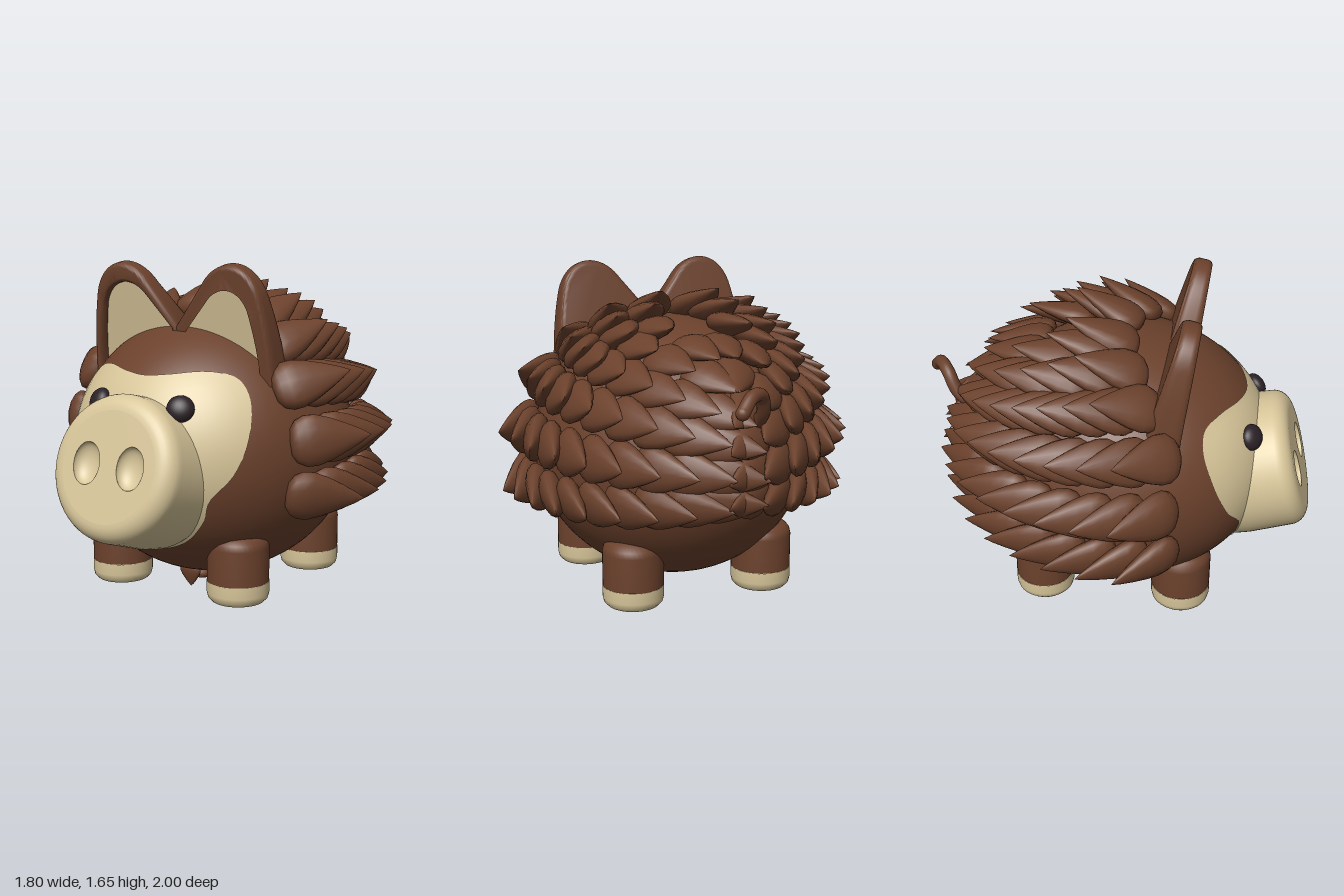
import * as THREE from 'three';
import { toCreasedNormals } from 'three/addons/utils/BufferGeometryUtils.js';

const brown = new THREE.MeshStandardMaterial({ color: 0x6b412c });
brown.name = 'brown';
const tan = new THREE.MeshStandardMaterial({ color: 0xd8c69a, side: THREE.DoubleSide });
tan.name = 'tan';
const dark = new THREE.MeshStandardMaterial({ color: 0x2b2126 });
dark.name = 'dark';

// Body ellipsoid: radii and centre
const V = (x, y, z) => new THREE.Vector3(x, y, z);
const R = V(0.7, 0.67, 0.76);
const C = V(0, 0.73, 0.025);

function add(parent, name, geometry, material, x = 0, y = 0, z = 0) {
  const mesh = new THREE.Mesh(geometry, material);
  mesh.name = name;
  mesh.position.set(x, y, z);
  parent.add(mesh);
  return mesh;
}

const lathe = (pts, segments) =>
  new THREE.LatheGeometry(pts.map(p => new THREE.Vector2(p[0], p[1])), segments);

// Heart-shaped face patch laid just over the body
function facePatch() {
  const half = [[0.2, 0.34], [0.33, 0.47], [0.37, 0.57], [0.47, 0.7], [0.51, 0.86],
    [0.48, 1.03], [0.4, 1.13], [0.28, 1.16], [0.12, 1.145]];
  const pts = [[0, 0.285], ...half, [0, 1.135], ...half.map(p => [-p[0], p[1]]).reverse()];
  const curve = new THREE.CatmullRomCurve3(pts.map(p => V(p[0], p[1], 0)), true);
  const N = 96, rings = 14, pos = [], idx = [];
  for (let r = 0; r <= rings; r++) {
    for (let i = 0; i <= N; i++) {
      const p = curve.getPoint((i % N) / N), t = r / rings;
      const x = p.x * t, y = 0.75 + (p.y - 0.75) * t;
      const k = 1 - (x / R.x) ** 2 - ((y - C.y) / R.y) ** 2;
      pos.push(x, y, C.z + Math.sqrt(Math.max(k, 0)) * R.z + 0.008);
      if (r < rings && i < N) {
        const a = r * (N + 1) + i, b = a + N + 1;
        idx.push(a, b, b + 1, a, b + 1, a + 1);
      }
    }
  }
  const g = new THREE.BufferGeometry();
  g.setAttribute('position', new THREE.Float32BufferAttribute(pos, 3));
  g.setIndex(idx);
  g.computeVertexNormals();
  return g;
}

// Tilted snout with two dished nostrils
function makeSnout() {
  const g = new THREE.Group();
  g.name = 'snout';
  g.position.set(0, 0.745, 0.928);
  g.rotation.x = -0.28;
  const profile = [[0.33, -0.47], [0.358, -0.38], [0.361, -0.3], [0.35, -0.09]];
  for (let i = 1; i <= 8; i++) {
    const a = (i / 8) * Math.PI / 2;
    profile.push([0.262 + 0.088 * Math.cos(a), -0.085 + 0.085 * Math.sin(a)]);
  }
  add(g, 'snoutSide', lathe(profile, 64).rotateX(Math.PI / 2), tan);
  const face = new THREE.Shape().absarc(0, 0, 0.262, 0, Math.PI * 2);
  for (const s of [1, -1]) {
    face.holes.push(new THREE.Path().absellipse(s * 0.125, 0.005, 0.075, 0.1, 0, Math.PI * 2));
    const dish = new THREE.SphereGeometry(1, 32, 10, 0, Math.PI * 2, Math.PI / 2, Math.PI / 2);
    dish.rotateX(Math.PI / 2).scale(0.075, 0.1, 0.05);
    add(g, 'nostril', dish, tan, s * 0.125, 0.005, 0);
  }
  add(g, 'snoutFace', new THREE.ShapeGeometry(face, 32), tan);
  return g;
}

// Thins a part of the ear towards its tip
function taper(geometry) {
  const p = geometry.attributes.position;
  for (let i = 0; i < p.count; i++) p.setZ(i, p.getZ(i) * (1.05 - 0.9 * p.getY(i)));
  return toCreasedNormals(geometry, 0.8);
}

// Ear: rounded rim, back panel and pale sunken plate
function makeEar(s) {
  const g = new THREE.Group();
  g.name = s > 0 ? 'leftEar' : 'rightEar';
  g.position.set(0, 1.1, 0.268);
  g.rotation.x = 0.2;
  const outline = () => new THREE.Shape().moveTo(s * -0.01, -0.1).lineTo(s * -0.01, 0.26).lineTo(s * 0.15, 0.46)
    .bezierCurveTo(s * 0.24, 0.6, s * 0.42, 0.6, s * 0.475, 0.42)
    .quadraticCurveTo(s * 0.53, 0.2, s * 0.53, -0.1);
  const inner = shape => shape.moveTo(s * 0.035, -0.04).lineTo(s * 0.035, 0.245).lineTo(s * 0.18, 0.41)
    .bezierCurveTo(s * 0.25, 0.49, s * 0.38, 0.49, s * 0.43, 0.36)
    .quadraticCurveTo(s * 0.485, 0.15, s * 0.485, -0.04);
  const rim = outline();
  rim.holes.push(inner(new THREE.Path()));
  const rimGeometry = new THREE.ExtrudeGeometry(rim, { depth: 0.06, bevelThickness: 0.05,
    bevelSize: 0.02, bevelOffset: -0.02, bevelSegments: 6, curveSegments: 20 });
  add(g, 'earRim', taper(rimGeometry.translate(0, 0, -0.03)), brown);
  const backGeometry = new THREE.ExtrudeGeometry(outline(), { depth: 0.05, bevelThickness: 0.015,
    bevelSize: 0.02, bevelOffset: -0.03, bevelSegments: 4, curveSegments: 20 });
  add(g, 'earBack', taper(backGeometry.translate(0, 0, -0.072)), brown);
  add(g, 'innerEar', new THREE.ShapeGeometry(inner(new THREE.Shape()), 20), tan, 0, 0, 0.02);
  return g;
}

// Flattened teardrop quill, unit length along y
const quillGeometry = lathe([[0, -0.06], [0.17, -0.045], [0.27, 0.02], [0.325, 0.13], [0.325, 0.27],
  [0.27, 0.46], [0.175, 0.68], [0.08, 0.87], [0, 1]], 14).scale(1, 1, 0.52);

function addQuill(parent, base, dir, normal, length, width = 1) {
  const Y = dir.clone().normalize();
  const Z = normal.clone().addScaledVector(Y, -normal.dot(Y)).normalize();
  const q = add(parent, 'quill', quillGeometry, brown, base.x, base.y, base.z);
  q.quaternion.setFromRotationMatrix(new THREE.Matrix4().makeBasis(V(0, 0, 0).crossVectors(Y, Z), Y, Z));
  q.scale.set(length * width, length, length);
}

// Rows of quills: height at the front and back, first angle, count, backward pull, length
const rows = [
  [0.58, 0.63, 1.13, 10, 0, 0.37],
  [0.83, 0.77, 1.15, 10, 0, 0.38],
  [1.07, 0.92, 1.09, 10, 0.1, 0.37],
  [1.24, 1.06, 1.15, 9, 0.35, 0.36],
  [1.335, 1.2, 1.19, 6, 0.6, 0.36],
  [1.39, 1.3, 1.1, 4, 0.85, 0.36],
];

function makeQuills() {
  const g = new THREE.Group();
  g.name = 'quills';
  for (const [y0, y1, start, count, pull, length] of rows) {
    // Point on the body a fraction t of the way round the row
    const at = (t, s) => {
      const a = start + (Math.PI - 0.23 - start) * t;
      const y = y0 + (y1 - y0) * t * t;
      const c = Math.sqrt(1 - ((y - C.y) / R.y) ** 2);
      return V(s * R.x * c * Math.sin(a), y, C.z + R.z * c * Math.cos(a));
    };
    for (const s of [1, -1]) {
      for (let i = 0; i < count; i++) {
        const t = i / (count - 1), p = at(t, s);
        const n = p.clone().sub(C).divide(R).divide(R).normalize();
        const along = at(t + 0.01, s).sub(p).normalize();
        const back = V(0, 0, -1).addScaledVector(n, n.z);
        const dir = along.multiplyScalar(1 - pull).addScaledVector(back, pull).normalize()
          .addScaledVector(n, 0.4);
        addQuill(g, p.addScaledVector(n, 0.01), dir, n, length * (1 - 0.12 * t));
      }
    }
  }
  // Small quills under the belly
  addQuill(g, V(0, 0.11, 0.27), V(0, -1, -0.1), V(0, 0, 1), 0.11, 1.7);
  for (const s of [1, -1]) addQuill(g, V(s * 0.03, 0.065, 0.23), V(0, -0.06, -1), V(0, -1, 0), 0.17, 0.8);
  return g;
}

export function createModel() {
  const model = new THREE.Group();
  model.name = 'spinyPig';

  const body = add(model, 'body', new THREE.SphereGeometry(1, 64, 48), brown, C.x, C.y, C.z);
  body.scale.copy(R);
  add(model, 'facePatch', facePatch(), tan);
  model.add(makeSnout(), makeEar(1), makeEar(-1), makeQuills());

  // Eyes
  for (const s of [1, -1]) {
    const eye = add(model, 'eye', new THREE.SphereGeometry(1, 24, 16), dark, s * 0.235, 1.0, 0.684);
    eye.scale.set(0.066, 0.064, 0.042);
    eye.rotation.set(-0.5, s * 0.45, 0);
  }

  // Legs with round tops and pale hooves
  const hoof = lathe([[0, 0.02], [0.1, 0.02], [0.13, 0.027], [0.147, 0.045], [0.153, 0.07], [0.153, 0.128]], 40);
  const leg = lathe([[0.152, 0.128], [0.152, 0.3], [0.145, 0.33], [0.125, 0.352], [0.095, 0.363], [0, 0.367]], 40);
  for (const s of [1, -1]) {
    for (const z of [0.37, -0.35]) {
      add(model, 'hoof', hoof, tan, s * 0.352, 0, z);
      add(model, 'leg', leg, brown, s * 0.352, 0, z);
    }
  }

  // Curled tail with rounded tip
  const path = new THREE.CatmullRomCurve3([V(-0.1, 0.93, -0.66), V(-0.11, 1.04, -0.81),
    V(-0.07, 1.14, -0.87), V(0, 1.15, -0.92), V(0.07, 1.09, -0.965)]);
  add(model, 'tail', new THREE.TubeGeometry(path, 32, 0.033, 12), brown);
  add(model, 'tailTip', new THREE.SphereGeometry(0.033, 16, 12), brown, 0.07, 1.09, -0.965);

  return model;
}
